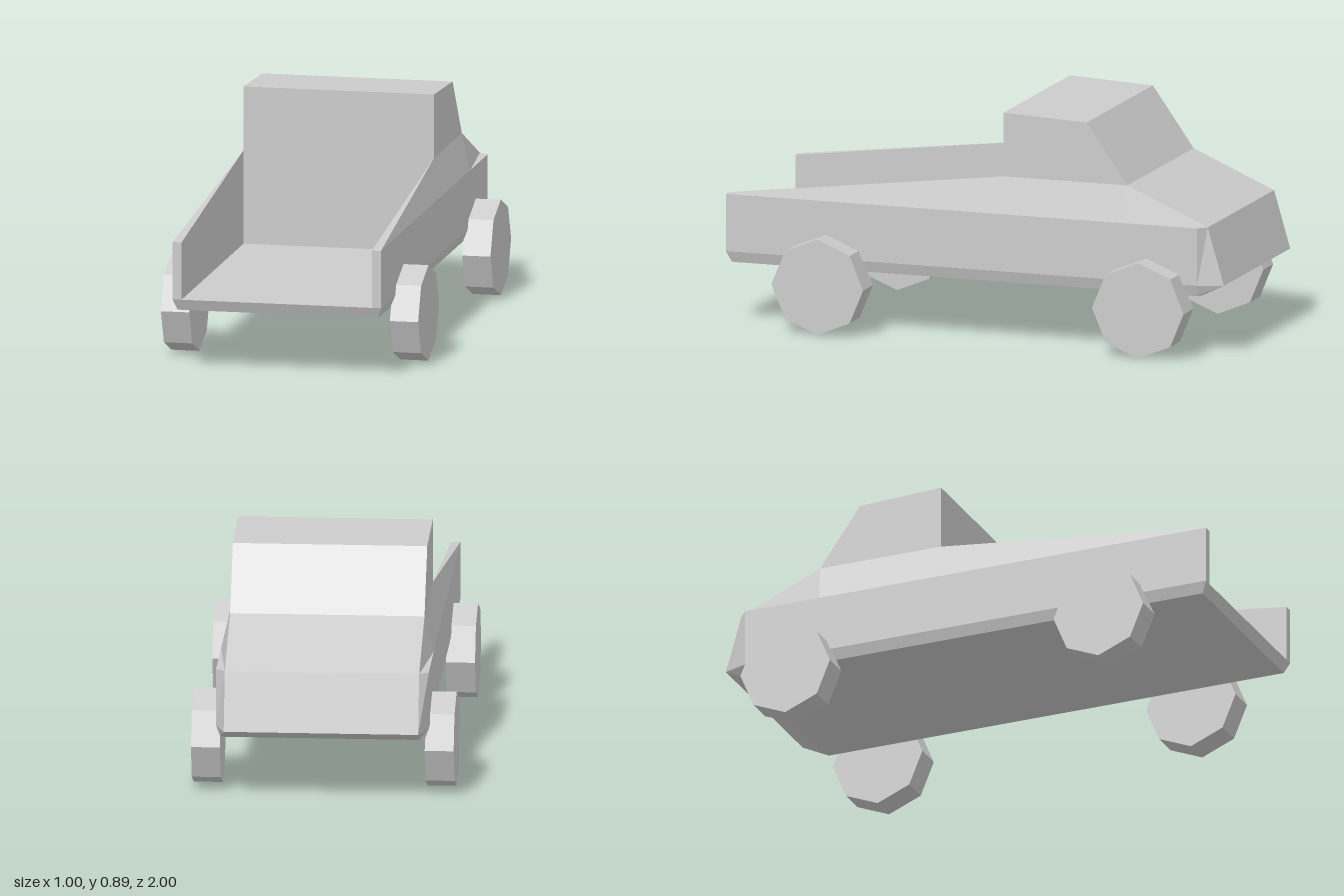
import * as THREE from 'three';

const material = new THREE.MeshStandardMaterial({ color: 0xcccccc, flatShading: true });

function addMesh(parent, name, geometry) {
  const mesh = new THREE.Mesh(geometry, material);
  mesh.name = name;
  parent.add(mesh);
  return mesh;
}

// Fan-triangulates convex polygons; side = -1 mirrors them across x
function fromPolygons(polygons, side = 1) {
  const positions = [];
  for (const polygon of polygons) {
    const p = polygon.map(([x, y, z]) => [x * side, y, z]);
    if (side < 0) p.reverse();
    for (let i = 1; i < p.length - 1; i++) positions.push(...p[0], ...p[i], ...p[i + 1]);
  }
  const geometry = new THREE.BufferGeometry();
  geometry.setAttribute('position', new THREE.Float32BufferAttribute(positions, 3));
  geometry.computeVertexNormals();
  return geometry;
}

const IN = 0.37, OUT = 0.405, FLOOR = 0.278, SILL = 0.5, BELT = 0.64;

// Floor pan: the lower outline is slightly smaller, giving a chamfered underside
function floorPan() {
  const ring = (half, y) => [
    ...half.map(([x, z]) => [x, y, z]),
    ...half.slice().reverse().map(([x, z]) => [-x, y, z]),
  ];
  const top = ring([[OUT, 1], [OUT, -0.905], [IN, -1]], FLOOR);
  const bottom = ring([[0.39, 0.98], [0.39, -0.9], [IN, -0.912]], 0.235);
  const faces = [top, bottom.slice().reverse()];
  top.forEach((point, i) => {
    const j = (i + 1) % top.length;
    faces.push([bottom[i], bottom[j], top[j], point]);
  });
  return fromPolygons(faces);
}

// Side panel: bed wall, sloping shoulder and cut corner by the hood
function sidePanel(side) {
  const frontInLow = [IN, FLOOR, 1], frontOutLow = [OUT, FLOOR, 1];
  const frontOutTop = [OUT, SILL, 1], frontInTop = [IN, SILL, 1];
  const bedLow = [IN, FLOOR, -0.11], bedTop = [IN, BELT, -0.11];
  const cabBase = [IN, BELT, -0.61], shoulder = [OUT, SILL, -0.6];
  const hoodEnd = [IN, SILL, -0.935], hoodLow = [IN, FLOOR, -1];
  const cornerTop = [OUT, SILL, -0.905], cornerLow = [OUT, FLOOR, -0.905];
  return fromPolygons([
    [frontInLow, frontOutLow, frontOutTop, frontInTop],
    [frontOutLow, cornerLow, cornerTop, frontOutTop],
    [frontInTop, frontOutTop, bedTop],
    [frontOutTop, shoulder, bedTop],
    [shoulder, cabBase, bedTop],
    [shoulder, hoodEnd, cabBase],
    [shoulder, cornerTop, hoodEnd],
    [cornerLow, hoodLow, hoodEnd, cornerTop],
    [bedLow, frontInLow, frontInTop, bedTop],
  ], side);
}

// Cab and hood: side profile (-z, y) extruded across the width
function cabAndHood() {
  const profile = [[0.11, FLOOR], [1, FLOOR], [0.935, SILL], [0.61, BELT], [0.445, 0.872], [0.11, 0.887]];
  const shape = new THREE.Shape(profile.map(([x, y]) => new THREE.Vector2(x, y)));
  const geometry = new THREE.ExtrudeGeometry(shape, { depth: 2 * IN, bevelEnabled: false });
  return geometry.translate(0, 0, -IN).rotateY(Math.PI / 2);
}

export function createModel() {
  const model = new THREE.Group();
  model.name = 'pickupTruck';

  const body = new THREE.Group();
  body.name = 'body';
  body.position.x = -0.002;
  model.add(body);
  addMesh(body, 'floorPan', floorPan());
  addMesh(body, 'cabAndHood', cabAndHood());
  addMesh(body, 'leftSidePanel', sidePanel(1));
  addMesh(body, 'rightSidePanel', sidePanel(-1));

  // Eight-sided wheels
  const wheel = new THREE.CylinderGeometry(0.185, 0.185, 0.11, 8).rotateZ(Math.PI / 2);
  for (const [sideName, x] of [['Left', 0.445], ['Right', -0.445]]) {
    for (const [endName, z] of [['front', 0.595], ['back', -0.7]]) {
      addMesh(model, `${endName}${sideName}Wheel`, wheel).position.set(x, 0.185, z);
    }
  }
  return model;
}
